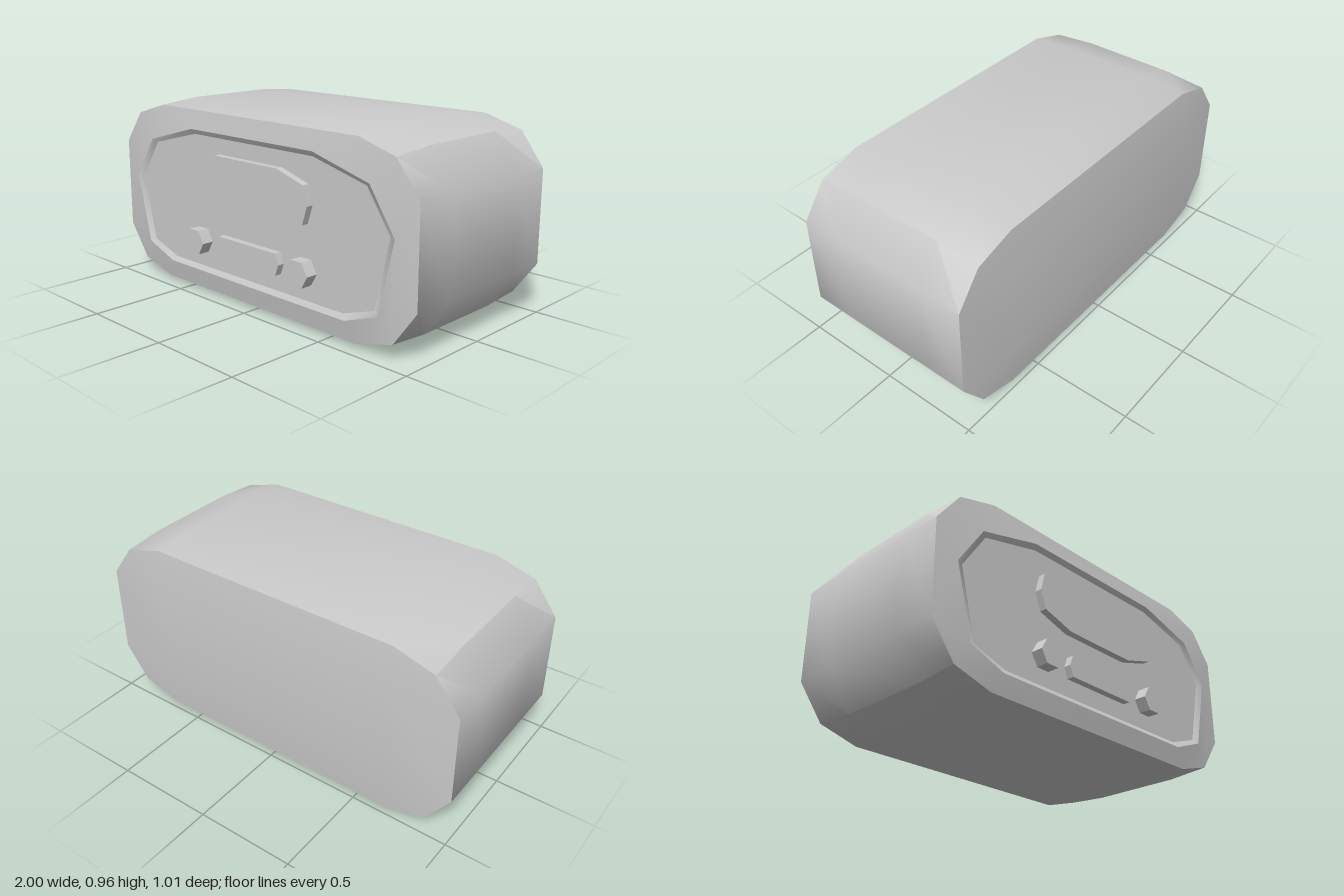
import * as THREE from 'three';
import { toCreasedNormals } from 'three/addons/utils/BufferGeometryUtils.js';

const material = new THREE.MeshStandardMaterial({ color: 0xcccccc });

// Closed left-right symmetric outline, from the +x half listed top to bottom (result runs counter-clockwise)
function mirrored(half) {
  const right = half.map(([x, y]) => [x, y]).reverse();
  const left = half.map(([x, y]) => [-x, y]);
  return [...right, ...left];
}

// Skin between equal-sized rings, ordered back to front; optional flat cap on the first ring
function loft(rings, capBack) {
  const pos = [];
  const tri = (a, b, c) => {
    const area = new THREE.Triangle(a, b, c).getArea();
    if (area > 1e-6) for (const p of [a, b, c]) pos.push(p.x, p.y, p.z);
  };
  for (let r = 0; r < rings.length - 1; r++) {
    const A = rings[r], B = rings[r + 1], n = A.length;
    for (let i = 0; i < n; i++) {
      const j = (i + 1) % n;
      tri(A[i], A[j], B[j]);
      tri(A[i], B[j], B[i]);
    }
  }
  if (capBack) {
    const A = rings[0];
    for (let i = 1; i < A.length - 1; i++) tri(A[0], A[i + 1], A[i]);
  }
  const g = new THREE.BufferGeometry();
  g.setAttribute('position', new THREE.Float32BufferAttribute(pos, 3));
  return toCreasedNormals(g, 0.65);
}

const ring = (pts, z) => pts.map(([x, y]) => new THREE.Vector3(x, y, z));

// Raised flat part with straight walls
function plate(name, pts, zBack, zFront) {
  const shape = new THREE.Shape(pts.map(([x, y]) => new THREE.Vector2(x, y)));
  const g = new THREE.ExtrudeGeometry(shape, { depth: zFront - zBack, bevelEnabled: false });
  g.translate(0, 0, zBack);
  const mesh = new THREE.Mesh(g, material);
  mesh.name = name;
  return mesh;
}

export function createModel() {
  const group = new THREE.Group();
  group.name = 'tabletopUnit';

  // Outlines of the case: full middle section and slightly lower ends
  const middle = mirrored([[0.67, 0.96], [0.875, 0.9], [1, 0.715], [1, 0.25], [0.875, 0.063], [0.67, 0]]);
  const end = mirrored([[0.67, 0.94], [0.875, 0.88], [1, 0.715], [1, 0.25], [0.875, 0.08], [0.67, 0.022]]);
  const backFlat = end.map(([x, y]) => [
    THREE.MathUtils.clamp(x, -0.67, 0.67), THREE.MathUtils.clamp(y, 0.25, 0.715)]);

  // Rim of the face recess; the side point is doubled to match the case outline
  const rimOuter = mirrored([[0.42, 0.845], [0.75, 0.755], [0.89, 0.545], [0.89, 0.545], [0.805, 0.19], [0.615, 0.12]]);
  const innerHalf = [[0.41, 0.82], [0.725, 0.74], [0.855, 0.545], [0.775, 0.205], [0.595, 0.145]];
  const rimInner = mirrored([...innerHalf.slice(0, 3), ...innerHalf.slice(2)]);

  // Case
  const body = new THREE.Mesh(loft([
    ring(backFlat, -0.503), ring(end, -0.482), ring(middle, -0.26),
    ring(middle, 0.22), ring(end, 0.438), ring(rimOuter, 0.457),
  ], true), material);
  body.name = 'case';
  group.add(body);

  // Sloped wall of the recess and the panel at its bottom
  const rim = new THREE.Mesh(loft([ring(rimOuter, 0.457), ring(rimInner, 0.442)], false), material);
  rim.name = 'recessRim';
  group.add(rim);
  group.add(plate('facePanel', mirrored(innerHalf), 0.43, 0.442));

  // Display and the bar beneath it
  group.add(plate('display', mirrored(
    [[0.22, 0.742], [0.385, 0.692], [0.41, 0.6], [0.38, 0.51], [0.21, 0.458]]), 0.435, 0.478));
  group.add(plate('buttonBar', mirrored([[0.202, 0.34], [0.222, 0.287], [0.202, 0.233]]), 0.435, 0.478));

  // Six-sided knobs on both sides of the bar
  for (const side of [-1, 1]) {
    const hex = Array.from({ length: 6 }, (_, i) => {
      const a = i * Math.PI / 3;
      return [side * 0.365 + 0.07 * Math.cos(a), 0.286 + 0.06 * Math.sin(a) / Math.sin(Math.PI / 3)];
    });
    group.add(plate(side > 0 ? 'leftKnob' : 'rightKnob', hex, 0.435, 0.503));
  }
  return group;
}
